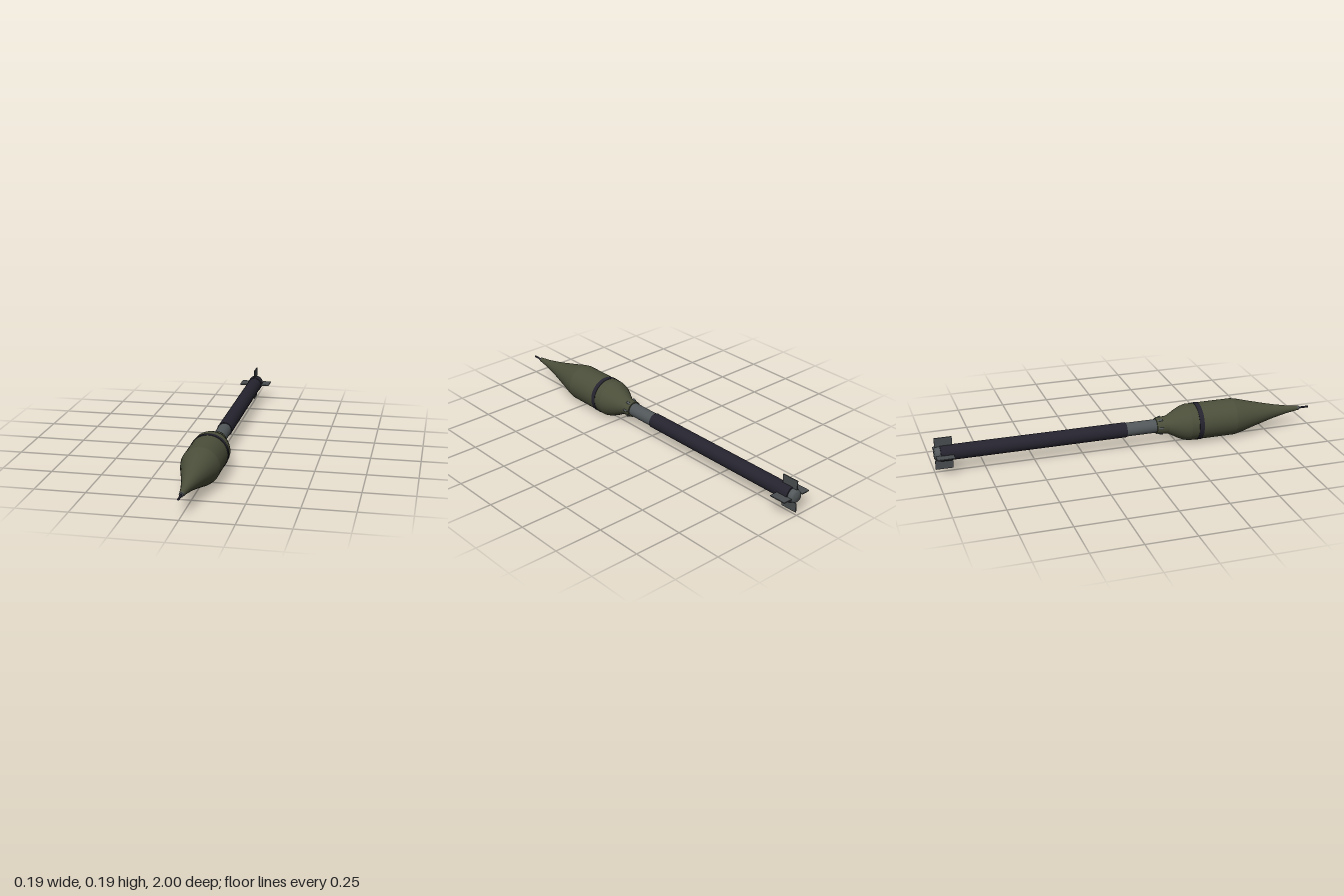
import * as THREE from 'three';

const AXIS_Y = 0.097;
const paint = (name, color) => {
  const m = new THREE.MeshStandardMaterial({ color });
  m.name = name;
  return m;
};

export function createModel() {
  const olive = paint('olive', 0x4b4f3a);
  const dark = paint('dark tube', 0x25242f);
  const steel = paint('steel', 0x52585a);
  const finGrey = paint('fin grey', 0x4a4e50);

  const model = new THREE.Group();
  model.name = 'finnedProjectile';
  const body = new THREE.Group();
  body.name = 'body';
  body.position.y = AXIS_Y;
  model.add(body);

  // Turned part around the z axis; profile is [z, radius] from back to front
  const turned = (name, material, profile, segments = 40) => {
    const pts = profile.map(([z, r]) => new THREE.Vector2(r, z));
    const mesh = new THREE.Mesh(new THREE.LatheGeometry(pts, segments).rotateX(Math.PI / 2), material);
    mesh.name = name;
    body.add(mesh);
  };
  // Straight or tapered round section, closed at both ends
  const rod = (name, material, z0, z1, r0, r1 = r0) => {
    const geo = new THREE.CylinderGeometry(r1, r0, z1 - z0, 40).rotateX(Math.PI / 2);
    const mesh = new THREE.Mesh(geo, material);
    mesh.name = name;
    mesh.position.z = (z0 + z1) / 2;
    body.add(mesh);
  };

  // Warhead shell in creased sections
  turned('noseCone', olive, [[0.56, 0.095], [0.6, 0.087], [0.65, 0.073], [0.7, 0.06],
    [0.75, 0.047], [0.8, 0.035], [0.87, 0.021], [0.935, 0.012]]);
  rod('mainShell', olive, 0.31, 0.56, 0.095);
  turned('rearShoulder', olive, [[0.2, 0.046], [0.22, 0.056], [0.25, 0.073], [0.28, 0.087], [0.31, 0.095]]);
  rod('neck', olive, 0.14, 0.2, 0.041, 0.046);
  rod('band', dark, 0.35, 0.375, 0.097);

  // Nose fuse
  rod('fuseCollar', steel, 0.925, 0.945, 0.0125, 0.011);
  rod('fusePin', dark, 0.94, 1, 0.005);

  // Motor and tail tube
  rod('motorTube', steel, -0.03, 0.15, 0.035);
  rod('tailTube', dark, -0.97, -0.02, 0.0385);
  rod('tailCollar', dark, -0.968, -0.91, 0.0405);
  turned('endCap', steel, [[-1, 0], [-0.998, 0.026], [-0.99, 0.031], [-0.968, 0.036]]);

  // Ring of small vents on the neck
  for (let i = 0; i < 6; i++) {
    const a = (i / 6) * Math.PI * 2 + Math.PI / 6;
    const vent = new THREE.Mesh(new THREE.CylinderGeometry(0.006, 0.006, 0.025, 10).rotateX(Math.PI / 2 - 0.3), steel);
    vent.name = 'vent' + (i + 1);
    vent.position.set(Math.sin(a) * 0.041, Math.cos(a) * 0.041, 0.16);
    vent.rotation.z = -a;
    body.add(vent);
  }

  // Four flat tail fins
  for (let i = 0; i < 4; i++) {
    const a = (i * Math.PI) / 2;
    const fin = new THREE.Mesh(new THREE.BoxGeometry(0.005, 0.047, 0.088), finGrey);
    fin.name = 'fin' + (i + 1);
    fin.position.set(Math.sin(a) * 0.06, Math.cos(a) * 0.06, -0.951);
    fin.rotation.z = -a;
    body.add(fin);
  }
  return model;
}
